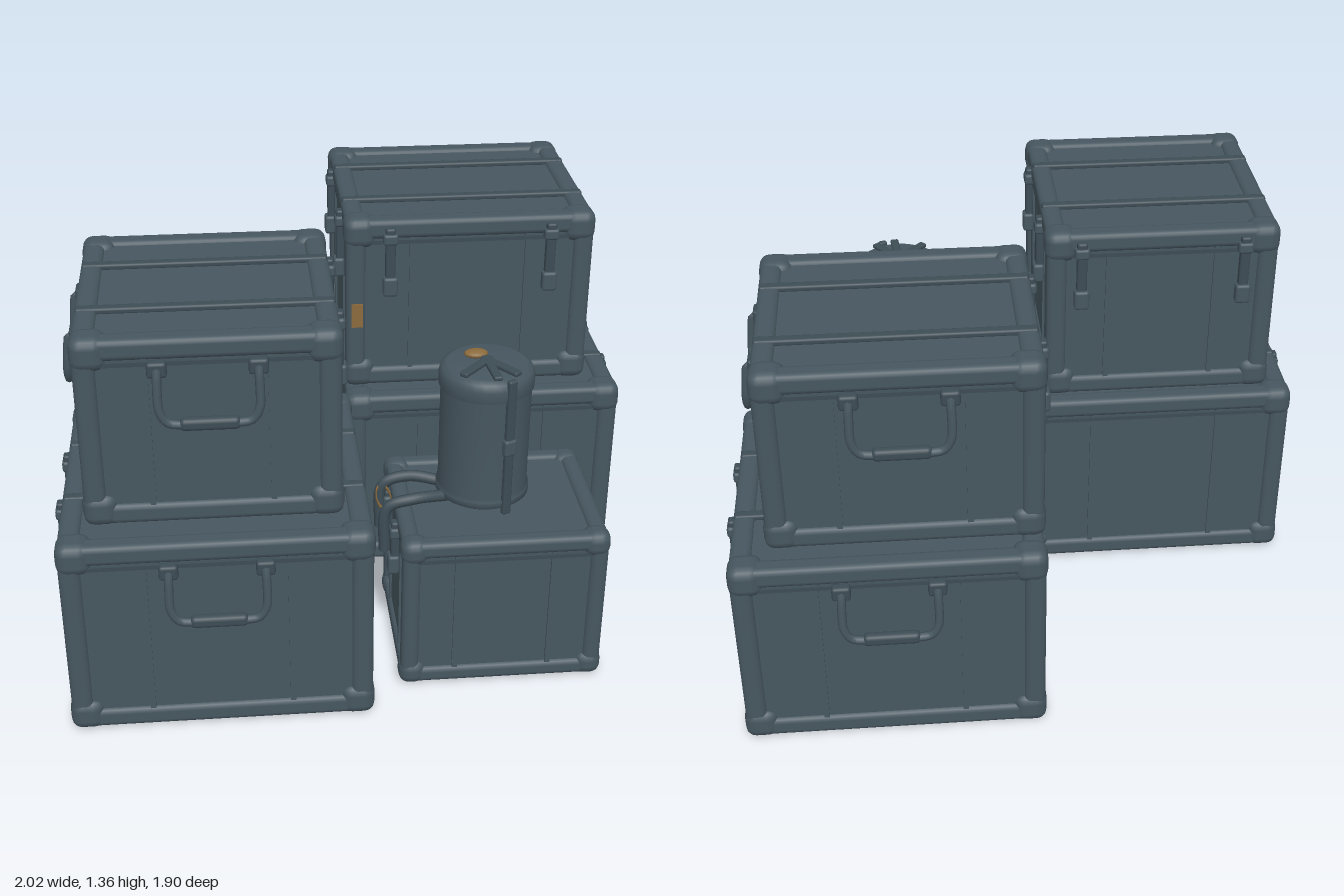
import * as THREE from 'three';
import { RoundedBoxGeometry } from 'three/addons/geometries/RoundedBoxGeometry.js';

const slate = new THREE.MeshStandardMaterial({ name: 'slate paint', color: 0x46565f });
const dark = new THREE.MeshStandardMaterial({ name: 'dark slate fittings', color: 0x3d4c54 });
const brass = new THREE.MeshStandardMaterial({ name: 'worn brass', color: 0x8a6a3c });

function add(parent, name, geometry, material, x = 0, y = 0, z = 0) {
  const mesh = new THREE.Mesh(geometry, material);
  mesh.name = name;
  mesh.position.set(x, y, z);
  parent.add(mesh);
  return mesh;
}

const rounded = (w, h, d, r) => new RoundedBoxGeometry(w, h, d, 2, r);
const v = (x, y, z) => new THREE.Vector3(x, y, z);

// A frame whose +z points out of the chosen side of a box
function sideFrame(parent, name, angle, distance) {
  const frame = new THREE.Group();
  frame.name = name;
  frame.rotation.y = angle;
  frame.position.set(Math.sin(angle) * distance, 0, Math.cos(angle) * distance);
  parent.add(frame);
  return frame;
}

// Hanging U-shaped carrying handle with two brackets, top at y
function handle(frame, y, half, drop, out) {
  const path = new THREE.CatmullRomCurve3([
    v(-half, 0, 0), v(-half, -0.01, out * 0.7), v(-half, -drop * 0.7, out),
    v(-half * 0.75, -drop, out), v(half * 0.75, -drop, out),
    v(half, -drop * 0.7, out), v(half, -0.01, out * 0.7), v(half, 0, 0),
  ], false, 'catmullrom', 0.3);
  add(frame, 'handleBar', new THREE.TubeGeometry(path, 40, 0.014, 8), slate, 0, y, 0);
  add(frame, 'handleGrip', rounded(half * 1.2, 0.04, 0.035, 0.014), dark, 0, y - drop, out);
  for (const s of [-1, 1]) {
    add(frame, 'handleBracket', rounded(0.06, 0.05, 0.035, 0.01), dark, s * half, y, 0.005);
  }
}

// Strap latch running down from the lid
function latch(frame, x, top, length) {
  add(frame, 'latchStrap', rounded(0.035, length, 0.03, 0.008), dark, x, top - length / 2, 0.005);
  add(frame, 'latchBuckle', rounded(0.052, 0.07, 0.04, 0.01), slate, x, top - length + 0.035, 0.01);
  add(frame, 'latchHinge', rounded(0.052, 0.04, 0.04, 0.01), slate, x, top - 0.04, 0.005);
}

// Case with recessed panels, edge rails, corner caps and fittings
function crate(name, [w, h, d], opts) {
  const g = new THREE.Group();
  g.name = name;
  const rail = opts.rail ?? 0.07, cap = opts.cap ?? 0.11, inset = 0.02;
  add(g, 'panels', new THREE.BoxGeometry(w - 2 * inset, h - 2 * inset, d - 2 * inset), slate, 0, h / 2, 0);
  const lip = 0.006, R = rail / 2 + lip;
  for (const a of [-1, 1]) {
    for (const b of [-1, 1]) {
      add(g, 'railAcross', rounded(w - rail, rail, rail, 0.02), slate, 0, h / 2 + a * (h / 2 - R), b * (d / 2 - R));
      add(g, 'railDeep', rounded(rail, rail, d - rail, 0.02), slate, a * (w / 2 - R), h / 2 + b * (h / 2 - R), 0);
      add(g, 'railUpright', rounded(rail, h - rail, rail, 0.02), slate, a * (w / 2 - R), h / 2, b * (d / 2 - R));
      for (const c of [-1, 1]) {
        add(g, 'cornerCap', rounded(cap, cap, cap, 0.035), slate,
          a * (w - cap) / 2, h / 2 + b * (h - cap) / 2, c * (d - cap) / 2);
      }
    }
  }
  // Lid straps
  for (const z of opts.lidStraps ?? []) {
    add(g, 'lidStrap', rounded(w - 0.02, 0.022, 0.035, 0.008), dark, 0, h - 0.013, z);
  }
  // Panel ribs on all four sides
  for (let i = 0; i < 4; i++) {
    const reach = (i % 2 ? w : d) / 2, span = i % 2 ? d : w;
    const frame = sideFrame(g, 'sideRibs', i * Math.PI / 2, reach - inset);
    for (const s of [-1, 1]) {
      add(frame, 'panelRib', new THREE.BoxGeometry(0.018, h - 2 * rail, 0.016), slate, s * span * 0.23, h / 2, 0);
    }
    add(frame, 'lidSeam', new THREE.BoxGeometry(span - 2 * rail, 0.014, 0.018), dark, 0, h - rail - 0.018, 0);
  }
  const reachAt = (angle) => (Math.abs(Math.sin(angle)) > 0.5 ? w : d) / 2;
  for (const angle of opts.handles ?? []) {
    const f = sideFrame(g, 'handle', angle, reachAt(angle) - 0.008);
    handle(f, h - (opts.handleTop ?? 0.1), opts.handleHalf ?? 0.15, opts.drop ?? 0.17, opts.out ?? 0.038);
  }
  for (const [angle, spread] of opts.latches ?? []) {
    const f = sideFrame(g, 'latches', angle, reachAt(angle) - 0.006);
    for (const s of [-1, 1]) latch(f, s * spread, h - (opts.latchTop ?? 0.03), opts.latchLength ?? 0.25);
  }
  return g;
}

// Tall canister with lid, strap and brass clasp
function canister() {
  const g = new THREE.Group();
  g.name = 'canister';
  const profile = [[0, 0], [0.14, 0], [0.157, 0.012], [0.157, 0.035], [0.15, 0.042], [0.15, 0.4],
    [0.157, 0.407], [0.158, 0.445], [0.15, 0.468], [0.13, 0.48], [0, 0.484]];
  const body = new THREE.LatheGeometry(profile.map(([r, y]) => new THREE.Vector2(r, y)), 32);
  add(g, 'canisterBody', body, slate);
  // Upright strap pressed against the wall
  const angle = 0.38;
  const f = sideFrame(g, 'canisterStrap', angle, 0.155);
  add(f, 'uprightStrap', rounded(0.032, 0.5, 0.022, 0.008), dark, 0, 0.235, 0);
  add(f, 'strapBuckle', rounded(0.045, 0.06, 0.03, 0.01), slate, 0, 0.24, 0.002);
  // Lid straps fanning out of the clasp
  for (const a of [0.1, 0.65, -0.75]) {
    const fan = sideFrame(g, 'lidFan', a, 0.06);
    add(fan, 'fanStrap', rounded(0.03, 0.016, 0.16, 0.006), dark, 0, 0.488, 0);
  }
  const clasp = add(g, 'clasp', new THREE.SphereGeometry(0.04, 16, 8), brass, -0.03, 0.49, -0.045);
  clasp.scale.set(1, 0.35, 0.7);
  return g;
}

export function createModel() {
  const model = new THREE.Group();
  model.name = 'stackedCases';
  const H = Math.PI / 2;
  const place = (part, x, y, z, turn = 0) => {
    part.position.set(x, y, z);
    part.rotation.y = turn;
    model.add(part);
    return part;
  };

  // Two stacks, one turned half way round
  const large = { handles: [0], latches: [[-H, 0.15]], lidStraps: [-0.18, 0.16] };
  const small = { handles: [0, -H], latches: [[H, 0.2], [Math.PI, 0.28]], lidStraps: [-0.16, 0.17] };
  place(crate('frontLowerCase', [0.99, 0.71, 0.95], large), -0.495, 0, 0.415);
  place(crate('frontUpperCase', [0.81, 0.645, 0.82], small), -0.495, 0.715, 0.38);
  place(crate('backLowerCase', [1.0, 0.71, 0.93], large), 0.48, 0, -0.455, Math.PI);
  place(crate('backUpperCase', [0.88, 0.645, 0.78], small), 0.42, 0.715, -0.445, Math.PI);
  add(model, 'wornPatch', new THREE.BoxGeometry(0.04, 0.09, 0.006), brass, 0.025, 1.0, -0.06);

  // Small case carrying the canister
  place(crate('smallCase', [0.69, 0.57, 0.59], {
    rail: 0.06, cap: 0.09, handles: [H], latches: [[-H, 0.1]],
    handleTop: 0.1, handleHalf: 0.1, drop: 0.11, out: 0.028, latchLength: 0.2,
  }), 0.44, 0, 0.46);
  place(canister(), 0.405, 0.57, 0.425);

  // Loose straps from the canister hanging over the small case's edge
  for (const z of [0.36, 0.51]) {
    const path = new THREE.CatmullRomCurve3([
      v(0.28, 0.58, 0.43 + (z - 0.43) * 0.6), v(0.16, 0.59, z), v(0.075, 0.56, z), v(0.065, 0.4, z + 0.01),
    ]);
    add(model, 'looseStrap', new THREE.TubeGeometry(path, 20, 0.02, 8), dark);
  }
  const ring = add(model, 'strapRing', new THREE.TorusGeometry(0.07, 0.007, 8, 24), brass, 0.07, 0.555, 0.435);
  ring.rotation.set(H, 0, 0);
  ring.scale.set(0.35, 1.1, 1);
  return model;
}
